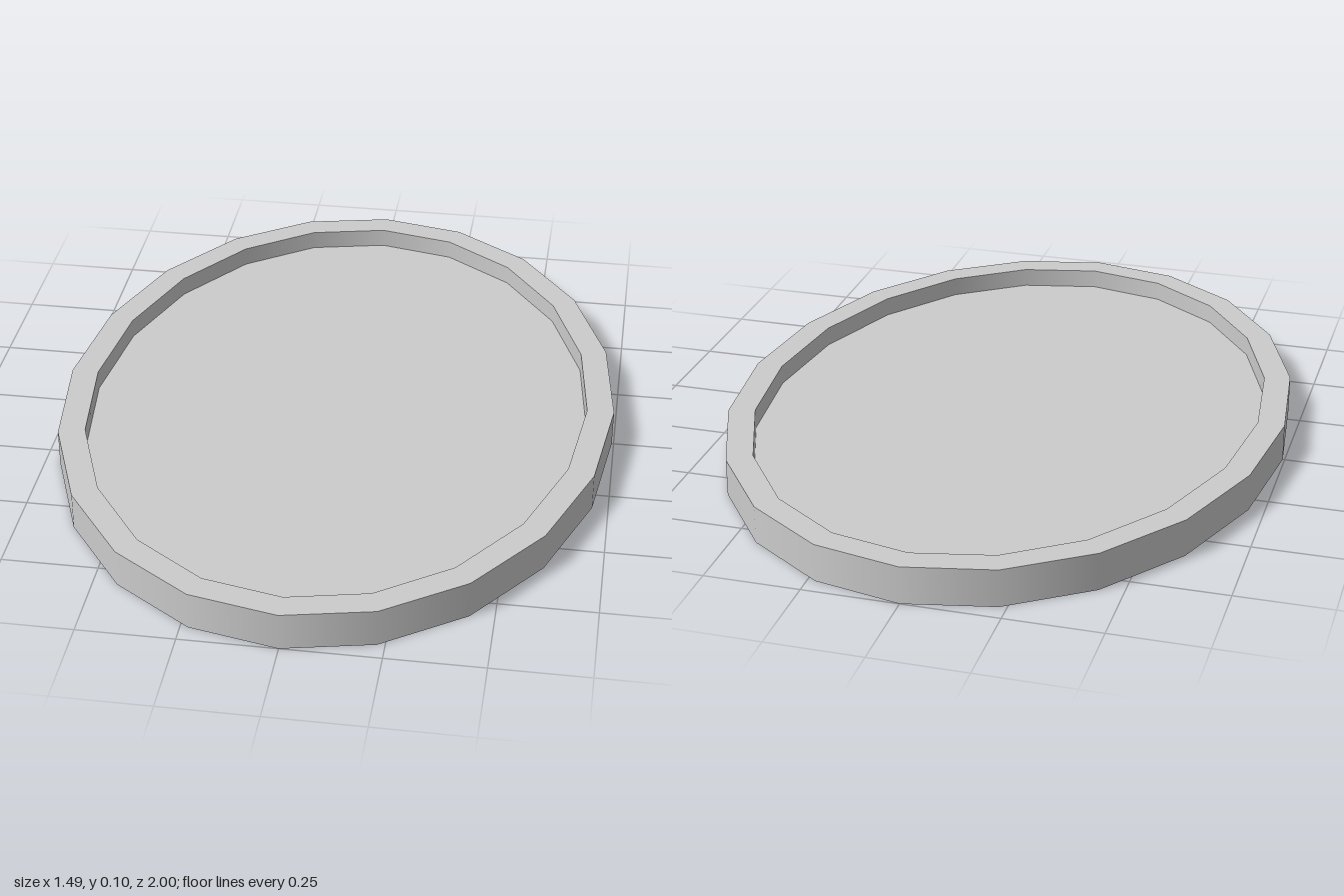
import * as THREE from 'three';

const SIDES = 20;
const AXIS_GAP = 0.255; // long half axis minus short half axis

// Oval band swept between two profile points [long half axis, height]
function ovalBand(name, from, to, material) {
  const geometry = new THREE.LatheGeometry(
    [new THREE.Vector2(...from), new THREE.Vector2(...to)], SIDES);
  const p = geometry.attributes.position, n = geometry.attributes.normal;
  const v = new THREE.Vector3();
  for (let i = 0; i < p.count; i++) {
    const r = Math.hypot(p.getX(i), p.getZ(i));
    if (r < 0.001) continue;
    // squeeze the circle across x, keeping the rim equally wide all round
    const squeeze = (r - AXIS_GAP) / r;
    p.setX(i, p.getX(i) * squeeze);
    v.fromBufferAttribute(n, i);
    v.x /= squeeze;
    v.normalize();
    n.setXYZ(i, v.x, v.y, v.z);
  }
  const mesh = new THREE.Mesh(geometry, material);
  mesh.name = name;
  return mesh;
}

export function createModel() {
  const material = new THREE.MeshStandardMaterial({ color: 0xcccccc });
  const tray = new THREE.Group();
  tray.name = 'ovalTray';

  // Profile from the underside centre, over the rim, to the floor centre
  const profile = [[0, 0], [1, 0], [1, 0.1], [0.928, 0.1], [0.928, 0.048], [0, 0.048]];
  const names = ['underside', 'outerWall', 'rim', 'innerWall', 'floor'];
  names.forEach((name, i) => tray.add(ovalBand(name, profile[i], profile[i + 1], material)));
  return tray;
}
